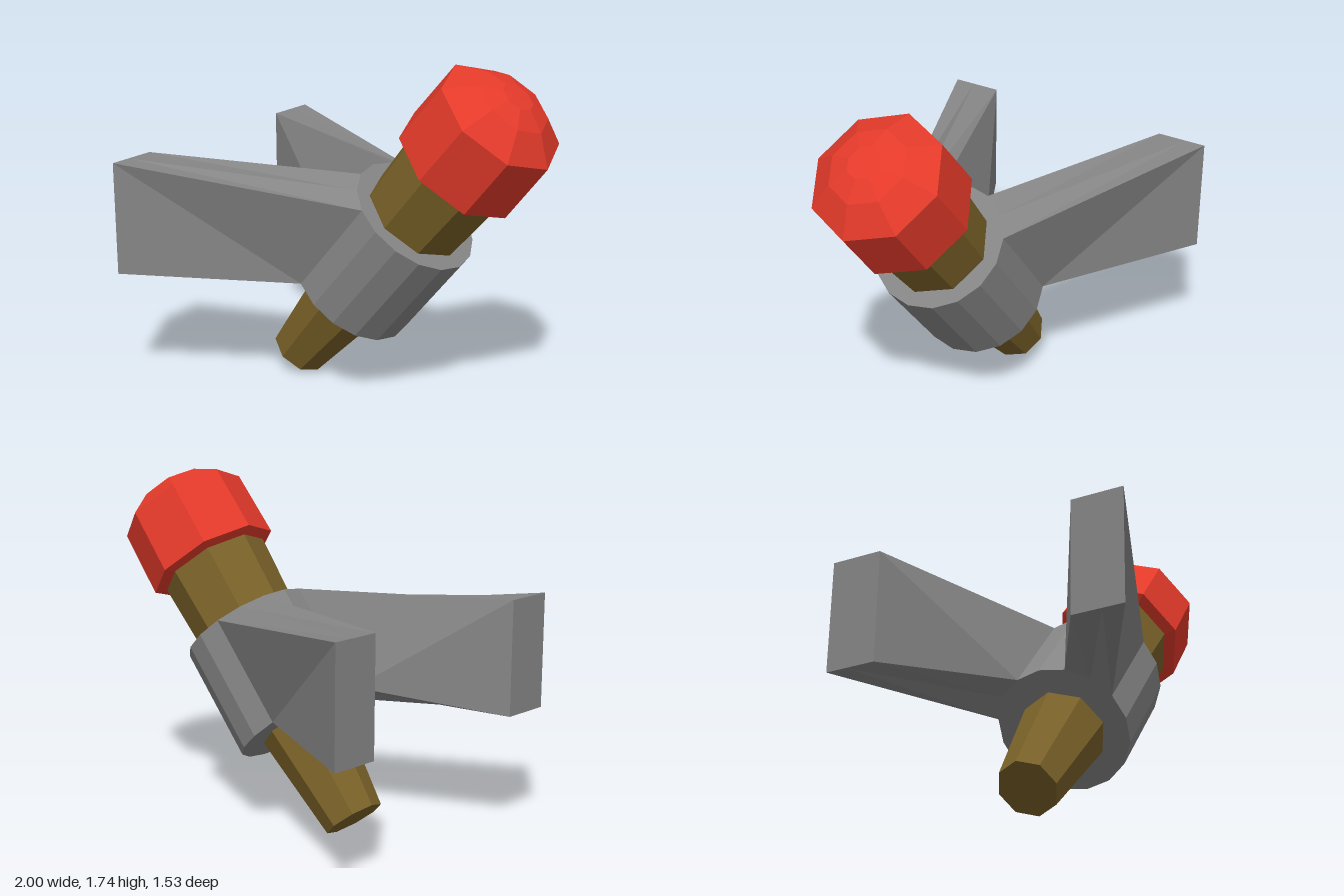
import * as THREE from 'three';

const TILT = -THREE.MathUtils.degToRad(40);
const BASE = new THREE.Vector3(-0.45, 0.1, 0);
const COLLAR = { r: 0.335, bottom: 0.55, top: 1.133, sides: 16 };

const flat = (color) => new THREE.MeshStandardMaterial({ color, flatShading: true });

function named(name, geometry, material) {
  const mesh = new THREE.Mesh(geometry, material);
  mesh.name = name;
  return mesh;
}

// Faceted solid of revolution from [radius, height] pairs, bottom to top
function turned(name, profile, sides, material) {
  const points = profile.map(([r, y]) => new THREE.Vector2(r, y));
  return named(name, new THREE.LatheGeometry(points, sides), material);
}

// Corner of the tilted collar, counted in steps from its wall-facing edge
function collarCorner(step, height, side) {
  const a = (step / COLLAR.sides) * Math.PI * 2;
  return new THREE.Vector3(-COLLAR.r * Math.cos(a), height, side * COLLAR.r * Math.sin(a))
    .applyAxisAngle(new THREE.Vector3(0, 0, 1), TILT)
    .add(BASE);
}

// Arm bridged from an upright wall end to two collar facets, open inside the collar
function bracketArm(name, side, material) {
  // Loop of [collar step, wall z, upper], from outer bottom round to outer top
  const loop = [
    [3, 0.765, false], [2, 0.656, false], [1, 0.505, false],
    [1, 0.505, true], [2, 0.656, true], [3, 0.765, true],
  ];
  const n = loop.length;
  const wall = loop.map(([, z, upper]) => new THREE.Vector3(-1, upper ? 1.195 : 0.62, side * z));
  const root = loop.map(([step, , upper]) => collarCorner(step, upper ? COLLAR.top : COLLAR.bottom, side));

  const index = [];
  for (let i = 0; i < n; i++) {
    const j = (i + 1) % n;
    if (i < 3) index.push(i, j, n + i, j, n + j, n + i);
    else index.push(i, j, n + j, i, n + j, n + i);
  }
  for (let i = 1; i < n - 1; i++) index.push(0, i + 1, i);
  if (side < 0) index.reverse();

  const geometry = new THREE.BufferGeometry().setFromPoints([...wall, ...root]);
  geometry.setIndex(index);
  const faceted = geometry.toNonIndexed();
  faceted.computeVertexNormals();
  return named(name, faceted, material);
}

export function createModel() {
  const model = new THREE.Group();
  model.name = 'wallTorch';
  const wood = flat(0x796128);
  const metal = flat(0x858585);
  const ember = flat(0xe43a2a);

  // Tilted torch
  const torch = new THREE.Group();
  torch.name = 'torch';
  torch.position.copy(BASE);
  torch.rotation.z = TILT;
  torch.add(
    turned('shaft', [[0, 0], [0.15, 0], [0.214, 0.55], [0.262, 1.13], [0.28, 1.52], [0, 1.52]], 8, wood),
    turned('collar', [[0, COLLAR.bottom], [COLLAR.r, COLLAR.bottom], [COLLAR.r, COLLAR.top], [0, COLLAR.top]],
      COLLAR.sides, metal),
    turned('head', [[0, 1.5], [0.28, 1.5], [0.338, 1.517], [0.331, 1.865], [0.195, 1.965], [0.085, 2.002], [0, 2.004]],
      8, ember),
  );
  model.add(torch);

  // Pair of wall arms
  model.add(bracketArm('leftArm', 1, metal), bracketArm('rightArm', -1, metal));
  return model;
}
